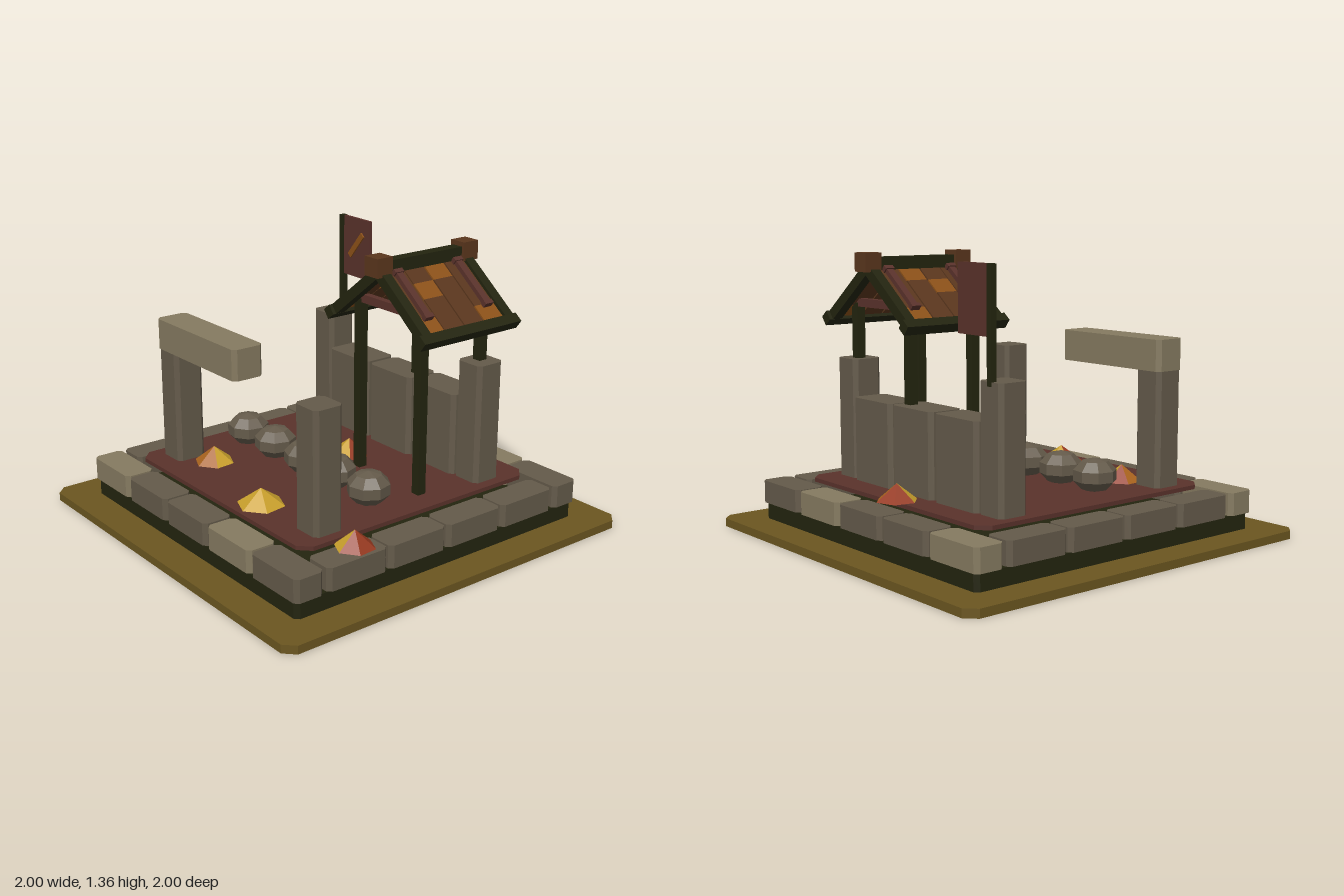
import * as THREE from 'three';

const mat = (name, color) => new THREE.MeshStandardMaterial({ name, color, flatShading: true });

export function createModel() {
  const root = new THREE.Group();
  root.name = 'ruinedShrine';
  const M = {
    ground: mat('olive ground', 0x6b5620),
    dark: mat('dark timber', 0x23240f),
    stone: mat('stone', 0x645a4a),
    pale: mat('pale stone', 0x857a60),
    maroon: mat('maroon', 0x5a322b),
    brown: mat('brown wood', 0x5a361d),
    amber: mat('amber wood', 0x8c5118),
    yellow: mat('yellow leaf', 0xc9a02c),
    orange: mat('orange leaf', 0xaa641e),
    red: mat('red leaf', 0x96391f),
  };

  const group = (name, parent = root) => {
    const g = new THREE.Group();
    g.name = name;
    parent.add(g);
    return g;
  };
  const add = (name, geo, material, x, y, z, parent = root) => {
    const m = new THREE.Mesh(geo, material);
    m.name = name;
    m.position.set(x, y, z);
    parent.add(m);
    return m;
  };
  const box = (name, material, w, h, d, x, y, z, parent) =>
    add(name, new THREE.BoxGeometry(w, h, d), material, x, y, z, parent);

  // Upright block with cut corners; y is its underside
  const block = (name, material, w, h, d, x, y, z, cut = 0.02, parent = root) => {
    const a = w / 2, b = d / 2, c = cut;
    const shape = new THREE.Shape([
      [a - c, -b], [a, -b + c], [a, b - c], [a - c, b],
      [-a + c, b], [-a, b - c], [-a, -b + c], [-a + c, -b],
    ].map(([px, py]) => new THREE.Vector2(px, py)));
    const geo = new THREE.ExtrudeGeometry(shape, { depth: h, bevelEnabled: false });
    geo.rotateX(-Math.PI / 2);
    return add(name, geo, material, x, y, z, parent);
  };

  // Ground, plinth and floor
  block('groundSlab', M.ground, 2, 0.04, 2, 0, 0, 0, 0.05);
  block('plinth', M.dark, 1.67, 0.08, 1.67, 0, 0.04, 0, 0.02);
  block('floor', M.maroon, 1.36, 0.02, 1.36, 0, 0.235, 0, 0.055);

  // Ring of kerb stones
  const kerb = group('kerbStones');
  for (const s of [-1, 1]) {
    for (let i = 0; i < 5; i++) {
      const material = i === 0 || i === 3 ? M.pale : M.stone;
      block('kerbStone', material, 0.328, 0.11, 0.15, (i - 2) * 0.342, 0.12, s * 0.77, 0.02, kerb);
    }
    for (let i = 0; i < 4; i++) {
      block('kerbStone', M.stone, 0.15, 0.11, 0.328, s * 0.773, 0.12, (i - 1.5) * 0.34, 0.02, kerb);
    }
  }

  // Corner pillars, lintel and back wall
  for (const x of [-0.553, 0.55]) {
    for (const z of [-0.46, 0.495]) block('pillar', M.stone, 0.155, 0.585, 0.155, x, 0.255, z);
  }
  block('lintel', M.pale, 0.665, 0.15, 0.165, -0.3, 0.81, 0.495);
  [-0.325, 0.002, 0.32].forEach((x) => block('wallSlab', M.stone, 0.305, 0.405, 0.18, x, 0.255, -0.46));

  // Row of boulders
  [-0.48, -0.245, 0, 0.23, 0.48].forEach((x, i) => {
    const b = add('boulder', new THREE.SphereGeometry(0.108, 8, 5), M.stone, x, 0.336, 0.155);
    b.scale.y = 0.76;
    b.rotation.y = i * 0.7 + 0.2;
  });

  // Leaf piles: one letter per face, running from the front towards the left side
  const leaf = { y: M.yellow, o: M.orange, r: M.red };
  const piles = [
    [0.18, 0.255, 0.545, 0.115, 'yyyyry'],
    [0.75, 0.232, 0.455, 0.095, 'rrrryy'],
    [-0.04, 0.255, -0.66, 0.1, 'ooorry'],
    [-0.38, 0.255, 0.43, 0.1, 'oyyroo'],
    [-0.05, 0.255, -0.16, 0.1, 'yrryyy'],
  ];
  piles.forEach(([x, y, z, r, faces], i) => {
    const geo = new THREE.ConeGeometry(r, 0.08, 6, 1, true);
    geo.clearGroups();
    for (let f = 0; f < 6; f++) geo.addGroup(f * 3, 3, f);
    const pile = add('leafPile', geo, [...faces].map((k) => leaf[k]), x, y + 0.04, z);
    pile.rotation.y = [0.15, 0.1, -0.2, 0.1, -0.1][i];
  });

  // Banner on the back pillar
  const banner = group('banner');
  box('flagPole', M.dark, 0.03, 0.52, 0.03, -0.555, 1.08, -0.525, banner);
  const flag = group('flag', banner);
  flag.position.set(-0.54, 1.185, -0.525);
  flag.rotation.y = -0.03;
  box('flagCloth', M.maroon, 0.215, 0.31, 0.016, 0.107, 0, 0, flag);
  box('flagStripe', M.amber, 0.165, 0.03, 0.008, 0.107, 0.015, 0.012, flag).rotation.z = 0.86;

  // Timber shelter: posts and ties
  const shelter = group('shelter');
  for (const z of [-0.103, -0.47]) {
    for (const x of [0.105, 0.535]) box('post', M.dark, 0.045, 0.855, 0.045, x, 0.6825, z, shelter);
    box('tieBeam', M.maroon, 0.43, 0.04, 0.035, 0.32, 1.112, z, shelter);
  }

  // Two roof slopes, mirrored about the ridge
  const planks = [[-0.095, 3], [-0.216, 1], [-0.339, 0], [-0.462, 3]];
  for (const s of [-1, 1]) {
    const slope = group('roofSlope', shelter);
    slope.position.set(0.32, 1.285, 0);
    slope.rotation.z = -s * 0.663;
    for (const z of [-0.035, -0.545]) box('rafter', M.dark, 0.42, 0.05, 0.05, s * 0.21, 0, z, slope);
    box('eaveBeam', M.dark, 0.05, 0.052, 0.595, s * 0.41, 0, -0.29, slope);
    for (const [z, accent] of planks) {
      for (let i = 0; i < 4; i++) {
        box('plank', i === accent ? M.amber : M.brown, 0.0925, 0.02, 0.115, s * (0.06 + i * 0.0925), 0, z, slope);
      }
    }
    // Battens with end knobs
    for (const z of [-0.103, -0.47]) {
      box('batten', M.maroon, 0.28, 0.025, 0.035, s * 0.165, 0.02, z, slope);
      for (const d of [0.035, 0.3]) box('battenKnob', M.maroon, 0.022, 0.035, 0.05, s * d, 0.02, z, slope);
    }
  }

  // Ridge with square end caps
  box('ridgeBeam', M.dark, 0.06, 0.06, 0.58, 0.32, 1.308, -0.29, shelter);
  for (const z of [-0.025, -0.555]) box('ridgeCap', M.brown, 0.09, 0.09, 0.09, 0.32, 1.315, z, shelter);

  return root;
}
